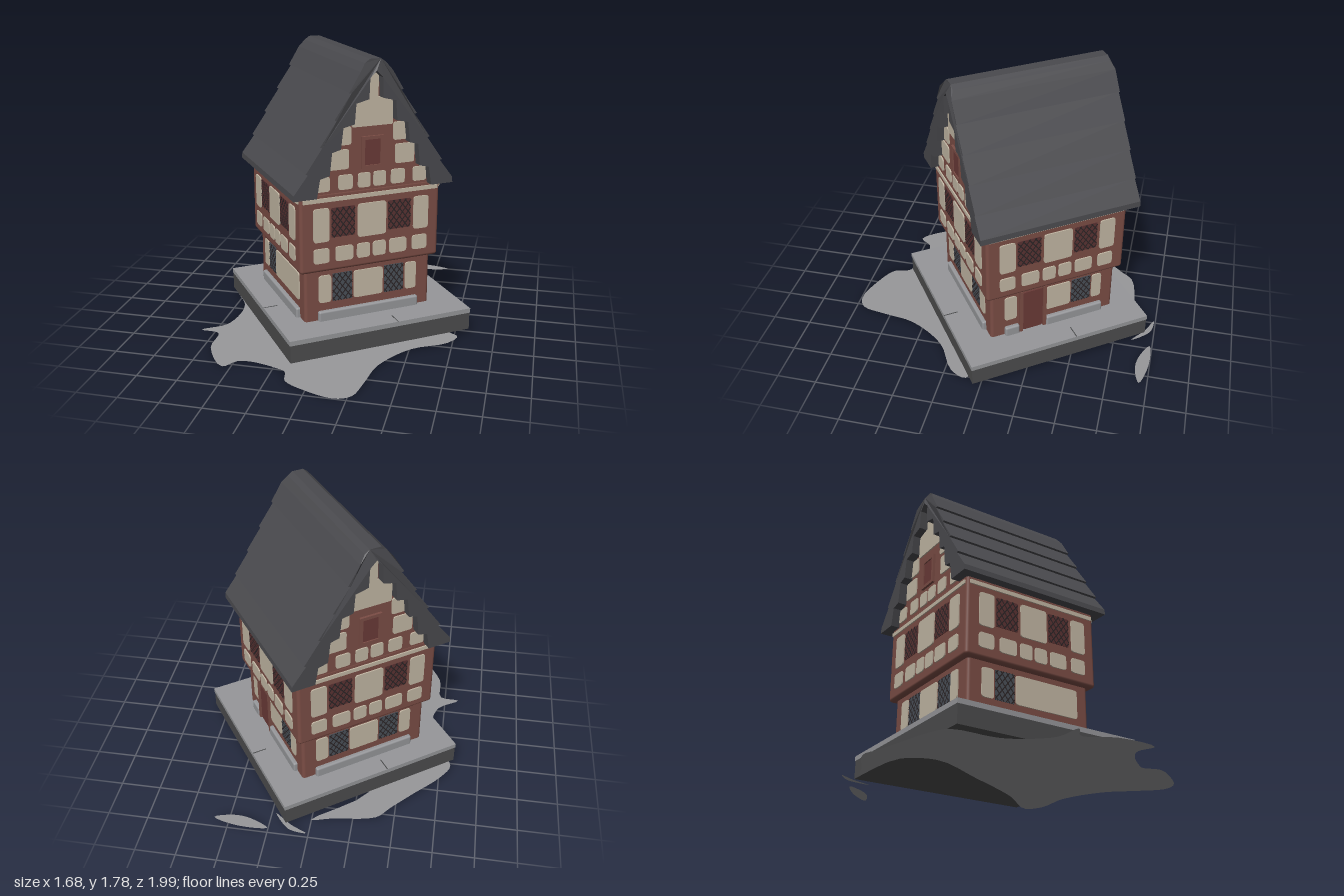
import * as THREE from 'three';
import { mergeGeometries } from 'three/addons/utils/BufferGeometryUtils.js';
import { RoundedBoxGeometry } from 'three/addons/geometries/RoundedBoxGeometry.js';

const mat = (name, color, side = THREE.FrontSide) => {
  const m = new THREE.MeshStandardMaterial({ color, side });
  m.name = name;
  return m;
};
const M = {
  roof: mat('slate roof', 0x4a4a4e),
  timber: mat('red timber', 0x7b4d45),
  cream: mat('cream plaster', 0xc2b7a4),
  redPane: mat('red window', 0x5a3232),
  bluePane: mat('blue window', 0x4a5058),
  lattice: mat('window lattice', 0x2b2426),
  door: mat('door red', 0x6a3a37),
  stone: mat('pale stone', 0x96979a),
  darkStone: mat('dark stone', 0x4c4c4d),
  ground: mat('ground grey', 0x98989a, THREE.DoubleSide),
};

function add(parent, name, geometry, material, x = 0, y = 0, z = 0) {
  const mesh = new THREE.Mesh(geometry, material);
  mesh.name = name;
  mesh.position.set(x, y, z);
  parent.add(mesh);
  return mesh;
}

// thin plate with rounded corners spanning x0..x1, y0..y1
function plate(face, name, material, x0, x1, y0, y1, d, r = 0.018, depth = 0.008) {
  const s = new THREE.Shape();
  s.moveTo(x0 + r, y0);
  s.lineTo(x1 - r, y0); s.quadraticCurveTo(x1, y0, x1, y0 + r);
  s.lineTo(x1, y1 - r); s.quadraticCurveTo(x1, y1, x1 - r, y1);
  s.lineTo(x0 + r, y1); s.quadraticCurveTo(x0, y1, x0, y1 - r);
  s.lineTo(x0, y0 + r); s.quadraticCurveTo(x0, y0, x0 + r, y0);
  const g = new THREE.ExtrudeGeometry(s, { depth, bevelEnabled: false, curveSegments: 3 });
  return add(face, name, g, material, 0, 0, d);
}

// pane with a diamond lattice clipped to its edges
function leadedWindow(face, material, x0, x1, y0, y1, d) {
  plate(face, 'windowPane', material, x0, x1, y0, y1, d, 0.006, 0.004);
  const w = x1 - x0, h = y1 - y0, k = 1.3, step = 0.05, bars = [];
  for (const dir of [1, -1]) {
    for (let c = -k * w + step / 2; c < h; c += step) {
      const a = Math.max(0, -c / k), b = Math.min(w, (h - c) / k);
      if (b - a < 0.012) continue;
      const g = new THREE.PlaneGeometry((b - a) * Math.hypot(1, k), 0.007);
      g.rotateZ(Math.atan(k) * dir);
      const mx = (a + b) / 2;
      g.translate(dir > 0 ? x0 + mx : x1 - mx, y0 + c + k * mx, 0);
      bars.push(g);
    }
  }
  add(face, 'windowLattice', mergeGeometries(bars), M.lattice, 0, 0, d + 0.006);
}

const GROUND = 0.42, UPPER = 0.457, ATTIC = 0.455;

function upperStorey(face) {
  for (const [a, b] of [[-0.375, -0.275], [-0.09, 0.095], [0.28, 0.38]])
    plate(face, 'upperPlaster', M.cream, a, b, 0.71, 0.92, UPPER);
  for (const a of [-0.26, 0.11]) leadedWindow(face, M.redPane, a, a + 0.15, 0.73, 0.915, UPPER);
  for (const side of [-1, 1])
    for (const [a, b] of [[0.01, 0.095], [0.12, 0.235], [0.275, 0.375]])
      plate(face, 'lowerPlaster', M.cream, side < 0 ? -b : a, side < 0 ? -a : b, 0.575, 0.668, UPPER);
  plate(face, 'eavesPlaster', M.cream, -0.44, 0.44, 0.957, 0.982, UPPER, 0.004);
}

function groundStorey(face, kind) {
  const cream = (a, b) => plate(face, 'groundPlaster', M.cream, a, b, 0.3, 0.478, GROUND);
  const win = (a) => leadedWindow(face, M.bluePane, a, a + 0.13, 0.3, 0.48, GROUND);
  const plinth = (a, b) => add(face, 'plinth', new RoundedBoxGeometry(b - a, 0.08, 0.04, 2, 0.012),
    M.stone, (a + b) / 2, 0.207, GROUND + 0.005);
  cream(-0.33, -0.25);
  if (kind === 'door') {
    plate(face, 'door', M.door, -0.215, -0.07, 0.185, 0.485, GROUND, 0.025);
    for (const x of [-0.222, -0.063])
      add(face, 'doorPost', new THREE.BoxGeometry(0.022, 0.32, 0.03), M.timber, x, 0.345, GROUND + 0.004);
    cream(-0.05, 0.115); win(0.125); cream(0.265, 0.33);
    plinth(-0.33, -0.235); plinth(-0.05, 0.34);
    return;
  }
  win(-0.24);
  if (kind === 'wide') cream(-0.1, 0.335);
  else { cream(-0.1, 0.095); win(0.107); cream(0.25, 0.325); }
  plinth(-0.335, 0.335);
}

function gable(face) {
  for (const side of [-1, 1]) {
    const p = (a, b, y0, y1) => plate(face, 'gablePlaster', M.cream,
      side < 0 ? -b : a, side < 0 ? -a : b, y0, y1, ATTIC, 0.015);
    p(0.01, 0.09, 1.02, 1.11);
    p(0.125, 0.215, 1.02, 1.11);
    p(0.27, 0.36, 1.02, 1.11);
    p(0.15, 0.275, 1.145, 1.265);
    p(0.135, 0.23, 1.29, 1.4);
  }
  plate(face, 'gableUpperPlaster', M.cream, -0.13, 0.13, 1.39, 1.56, ATTIC, 0.008);
  plate(face, 'gablePeakPlaster', M.cream, -0.035, 0.035, 1.55, 1.7, ATTIC, 0.004);
  plate(face, 'gableHatch', M.door, -0.052, 0.052, 1.155, 1.31, ATTIC, 0.004);
  for (const x of [-0.06, 0.06])
    add(face, 'hatchPost', new THREE.BoxGeometry(0.02, 0.18, 0.03), M.timber, x, 1.235, ATTIC);
  for (const y of [1.145, 1.32])
    add(face, 'hatchBeam', new THREE.BoxGeometry(0.14, 0.02, 0.03), M.timber, 0, y, ATTIC);
}

function mirroredShape(half) {
  const left = half.map(([x, y]) => [-x, y]).reverse();
  return new THREE.Shape([...half, ...left].map(([x, y]) => new THREE.Vector2(x, y)));
}

function buildRoof(house) {
  // right half: overlapping slate courses outside, stepped opening inside
  const outer = [[0.515, 1.0], [0.512, 1.035]];
  const at = (y) => 0.505 - 0.415 * (y - 1.02) / 0.7;
  for (const y of [1.15, 1.3, 1.45, 1.6]) outer.push([at(y) - 0.004, y], [at(y) + 0.01, y + 0.004]);
  outer.push([0.1, 1.72], [0.065, 1.765], [0.035, 1.787]);
  const inner = [[0.04, 1.68], [0.045, 1.56], [0.125, 1.54], [0.135, 1.42], [0.205, 1.405],
    [0.22, 1.28], [0.275, 1.265], [0.29, 1.13], [0.35, 1.115], [0.37, 1.0]];
  const mirror = (pts) => pts.map(([x, y]) => [-x, y]).reverse();
  const loop = [...outer, ...mirror(outer), ...mirror(inner), [0, 1.72], ...inner];
  // the inner half runs from the peak to the eaves, so its mirror runs back up
  const shape = new THREE.Shape(loop.map(([x, y]) => new THREE.Vector2(x, y)));
  const g = new THREE.ExtrudeGeometry(shape, { depth: 1.024, bevelEnabled: false });
  g.translate(0, 0, -0.512);
  // pull the ridge ends in slightly
  const p = g.attributes.position;
  for (let i = 0; i < p.count; i++)
    if (p.getY(i) > 1.75) p.setZ(i, p.getZ(i) * 0.96);
  g.computeVertexNormals();
  add(house, 'roof', g, M.roof);
}

function buildHouse(root) {
  const house = new THREE.Group();
  house.name = 'house';
  house.position.set(-0.023, 0, -0.115);
  house.rotation.y = 0.615;
  root.add(house);
  add(house, 'groundFloorWalls', new RoundedBoxGeometry(2 * GROUND, 0.4, 2 * GROUND, 3, 0.02), M.timber, 0, 0.345, 0);
  add(house, 'upperFloorWalls', new RoundedBoxGeometry(2 * UPPER, 0.5, 2 * UPPER, 3, 0.02), M.timber, 0, 0.765, 0);
  const attic = new THREE.ExtrudeGeometry(mirroredShape([[0.43, 0.99], [0.41, 1.06], [0.06, 1.7]]),
    { depth: 2 * ATTIC, bevelEnabled: false });
  add(house, 'atticWalls', attic, M.timber, 0, 0, -ATTIC);
  ['gable', 'door', 'gable', 'wide'].forEach((kind, i) => {
    const face = new THREE.Group();
    face.name = ['frontWall', 'doorWall', 'backWall', 'sideWall'][i];
    face.rotation.y = [0, Math.PI / 2, Math.PI, -Math.PI / 2][i];
    house.add(face);
    upperStorey(face);
    groundStorey(face, kind);
    if (kind === 'gable') gable(face);
  });
  buildRoof(house);
}

function buildTerrace(root) {
  const terrace = new THREE.Group();
  terrace.name = 'terrace';
  terrace.position.set(0, 0, -0.105);
  terrace.rotation.y = 0.615;
  root.add(terrace);
  add(terrace, 'terraceBase', new THREE.BoxGeometry(1.2, 0.115, 1.2), M.darkStone, 0, 0.1, 0);
  add(terrace, 'terracePaving', new THREE.BoxGeometry(1.206, 0.03, 1.206), M.stone, 0, 0.17, 0);
  // paving joints
  for (let i = 0; i < 4; i++) {
    const joint = new THREE.Group();
    joint.rotation.y = i * Math.PI / 2;
    terrace.add(joint);
    add(joint, 'pavingJoint', new THREE.BoxGeometry(0.006, 0.003, 0.09), M.darkStone, 0.1, 0.185, 0.557);
  }
}

// flat patch of ground from an outline of x, z points
function groundPatch(root, name, pts) {
  const curve = new THREE.CatmullRomCurve3(pts.map(([x, z]) => new THREE.Vector3(x, -z, 0)), true, 'centripetal');
  const shape = new THREE.Shape(curve.getPoints(pts.length * 4).slice(0, -1).map((v) => new THREE.Vector2(v.x, v.y)));
  const g = new THREE.ShapeGeometry(shape);
  g.rotateX(-Math.PI / 2);
  const p = g.attributes.position;
  for (let i = 0; i < p.count; i++) p.setY(i, 0.016 - 0.012 * p.getZ(i));
  g.computeVertexNormals();
  add(root, name, g, M.ground);
}

export function createModel() {
  const root = new THREE.Group();
  root.name = 'timberHouse';
  buildHouse(root);
  buildTerrace(root);
  groundPatch(root, 'ground', [[-0.13, -0.85], [-0.39, -0.8], [-0.47, -0.71], [-0.6, -0.57], [-0.76, -0.4],
    [-0.82, -0.28], [-0.69, -0.05], [-0.67, 0.1], [-0.71, 0.27], [-0.84, 0.37], [-0.72, 0.39], [-0.7, 0.58],
    [-0.55, 0.79], [-0.48, 0.71], [-0.39, 0.7], [-0.23, 0.74], [-0.17, 0.77], [-0.14, 0.87], [-0.02, 0.94],
    [0.18, 0.995], [0.27, 0.95], [0.31, 0.79], [0.35, 0.58], [0.51, 0.34], [0.72, 0.21], [0.77, 0.1],
    [0.45, 0], [0.05, -0.2], [-0.3, -0.4], [-0.32, -0.6], [0, -0.88]]);
  groundPatch(root, 'groundFleck', [[0.25, -0.985], [0.43, -0.995], [0.59, -0.95], [0.48, -0.915], [0.37, -0.925]]);
  groundPatch(root, 'groundSliver', [[0.01, -0.99], [0.12, -0.975], [0.22, -0.86], [0.11, -0.94]]);
  return root;
}
